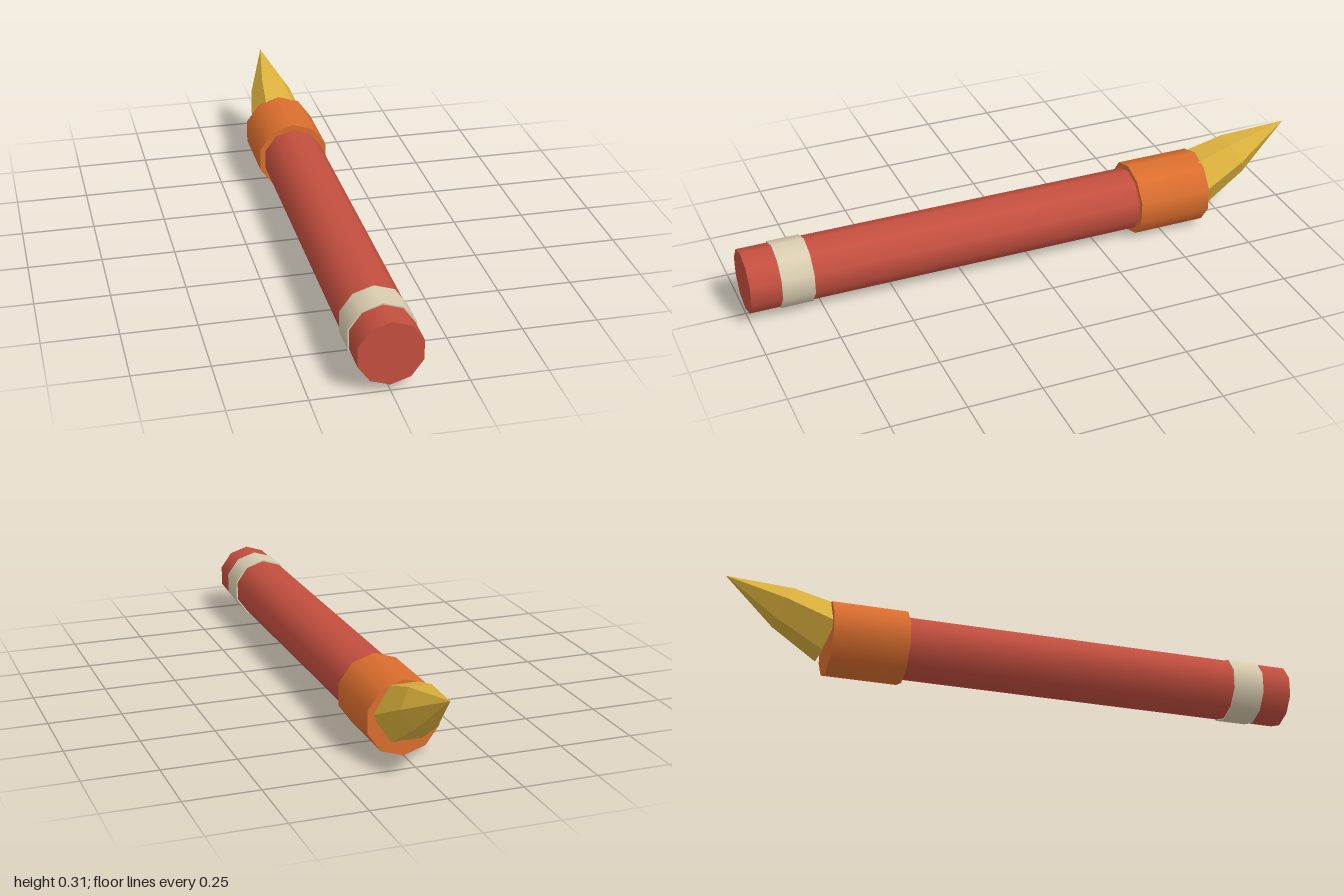
import * as THREE from 'three';

export function createModel() {
  const group = new THREE.Group();
  const axisY = 0.128;

  const mat = (name, color) => {
    const m = new THREE.MeshStandardMaterial({ color });
    m.name = name;
    return m;
  };
  const red = mat('red', 0xc44f3f);
  const orange = mat('orange', 0xdb6e2e);
  const cream = mat('cream', 0xdacdb0);
  const gold = mat('gold', 0xdcb23d);

  // Ten-sided smooth cylinder lying along z between two depths
  const addTube = (name, radius, zBack, zFront, material) => {
    const geo = new THREE.CylinderGeometry(radius, radius, zFront - zBack, 10);
    geo.rotateX(Math.PI / 2);
    const mesh = new THREE.Mesh(geo, material);
    mesh.name = name;
    mesh.position.set(0, axisY, (zBack + zFront) / 2);
    group.add(mesh);
  };
  addTube('handle', 0.108, -0.5, 1, red);
  addTube('band', 0.113, 0.785, 0.895, cream);
  addTube('collar', 0.128, -0.65, -0.39, orange);

  // Faceted six-sided spike, tilted upwards out of the collar
  const profile = [[0, 0], [0.105, 0], [0.075, 0.18], [0, 0.398]]
    .map(([r, h]) => new THREE.Vector2(r, h));
  const spikeGeo = new THREE.LatheGeometry(profile, 6, Math.PI / 2).toNonIndexed();
  spikeGeo.computeVertexNormals();
  const spike = new THREE.Mesh(spikeGeo, gold);
  spike.name = 'spike';
  spike.position.set(0, 0.1455, -0.638);
  spike.rotation.x = -THREE.MathUtils.degToRad(65.5);
  group.add(spike);

  return group;
}
